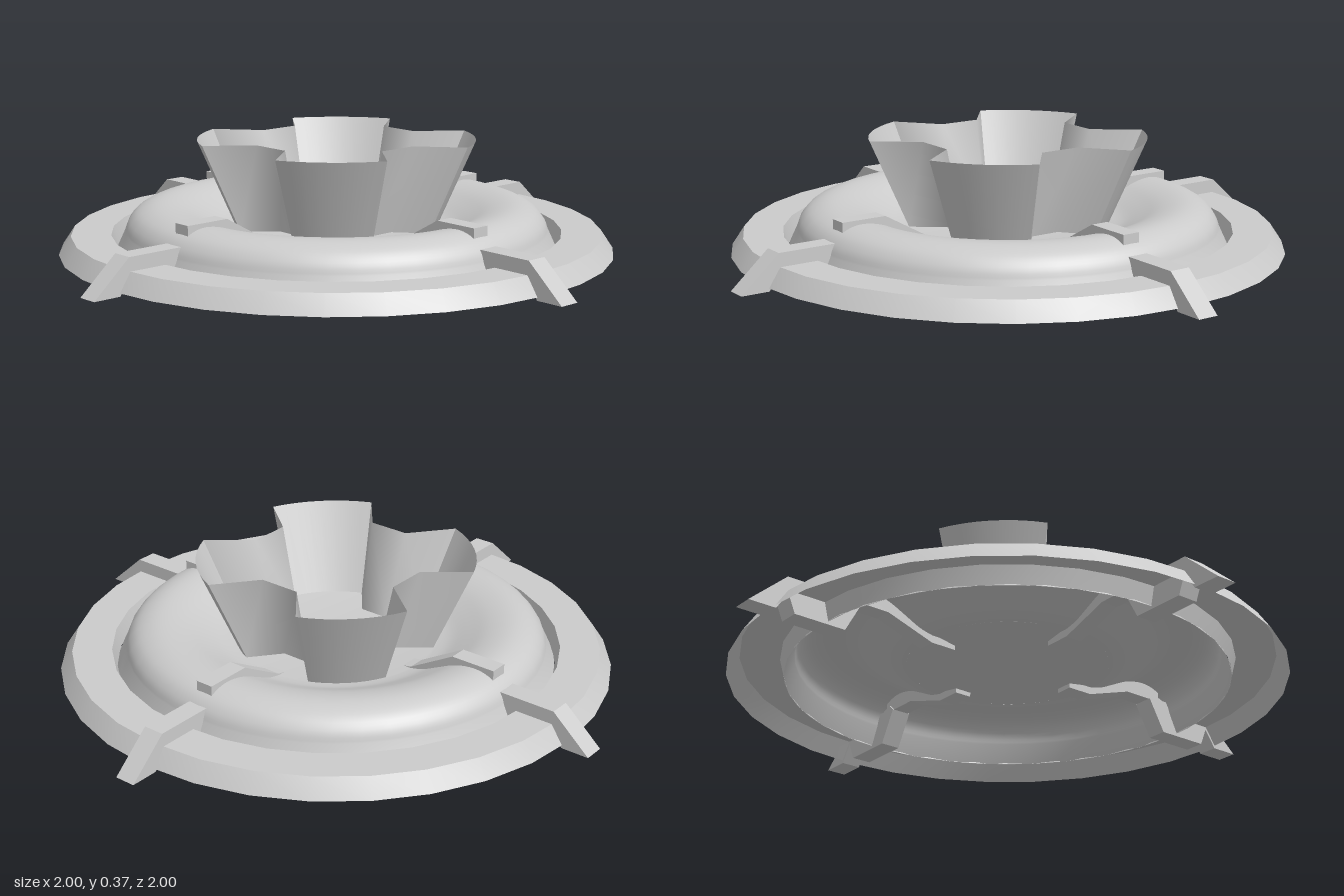
import * as THREE from 'three';
import { toCreasedNormals } from 'three/addons/utils/BufferGeometryUtils.js';

const material = new THREE.MeshStandardMaterial({ color: 0xcccccc, side: THREE.DoubleSide });

function mesh(name, geometry) {
  const m = new THREE.Mesh(geometry, material);
  m.name = name;
  return m;
}

const points = (list) => list.map(([x, y]) => new THREE.Vector2(x, y));

// Open shell turned around the y axis, with sharp corners kept
function turned(name, profile, sides) {
  return mesh(name, toCreasedNormals(new THREE.LatheGeometry(profile, sides), 0.6));
}

// Side outline along +x, extruded to a centred width
function bar(name, outline, width) {
  const g = new THREE.ExtrudeGeometry(new THREE.Shape(points(outline)), { depth: width, bevelEnabled: false });
  g.translate(0, 0, -width / 2);
  return mesh(name, g);
}

// Flared wall with four rounded lobes and four notches on the axes
function cupGeometry(bottomY, topY, taper) {
  const loop = [];
  for (let q = 0; q < 4; q++) {
    const turn = (q * Math.PI) / 2;
    const add = (r, a) => loop.push([r * Math.cos(a + turn), r * Math.sin(a + turn)]);
    add(0.293, -0.24);
    add(0.293, 0.24);
    for (let i = 0; i <= 8; i++) add(0.456, THREE.MathUtils.degToRad(23 + (44 * i) / 8));
  }
  const pos = [];
  const index = [];
  loop.forEach(([x, z], i) => {
    pos.push(x * taper, bottomY, z * taper, x, topY, z);
    const a = 2 * i;
    const b = 2 * ((i + 1) % loop.length);
    index.push(a, a + 1, b, b, a + 1, b + 1);
  });
  const g = new THREE.BufferGeometry();
  g.setAttribute('position', new THREE.Float32BufferAttribute(pos, 3));
  g.setIndex(index);
  return toCreasedNormals(g, 1.05);
}

export function createModel() {
  const group = new THREE.Group();

  // Hollow outer ring with a groove on its inner side
  group.add(turned('outerRing', points([[0.91, 0.01], [0.87, 0.07], [0.74, 0.07], [0.725, 0.01]]), 32));

  // Rounded rim dropping to a flat central floor
  const rim = new THREE.SplineCurve(points([
    [0.695, 0.075], [0.683, 0.107], [0.655, 0.138], [0.61, 0.157], [0.56, 0.16],
    [0.5, 0.147], [0.44, 0.12], [0.38, 0.092], [0.33, 0.08],
  ])).getPoints(28);
  group.add(turned('dish', [...points([[0.725, 0.01]]), ...rim, ...points([[0, 0.08]])], 48));

  // Flared cup in the middle
  group.add(mesh('centralCup', cupGeometry(0.08, 0.37, 0.725)));

  // Four legs over the ring, each with a bent rib through the dish
  for (let i = 0; i < 4; i++) {
    const arm = new THREE.Group();
    arm.name = 'arm';
    arm.add(bar('leg', [
      [1, 0], [0.87, 0.115], [0.66, 0.115], [0.62, 0.13], [0.6, 0.11],
      [0.66, 0], [0.84, 0], [0.865, 0.06], [0.905, 0],
    ], 0.07));
    arm.add(bar('rib', [
      [0.645, 0.175], [0.49, 0.175], [0.33, 0.085], [0.24, 0.07],
      [0.24, 0.055], [0.33, 0.055], [0.5, 0.11], [0.645, 0.11],
    ], 0.06));
    arm.rotation.y = (i * Math.PI) / 2;
    group.add(arm);
  }
  return group;
}
